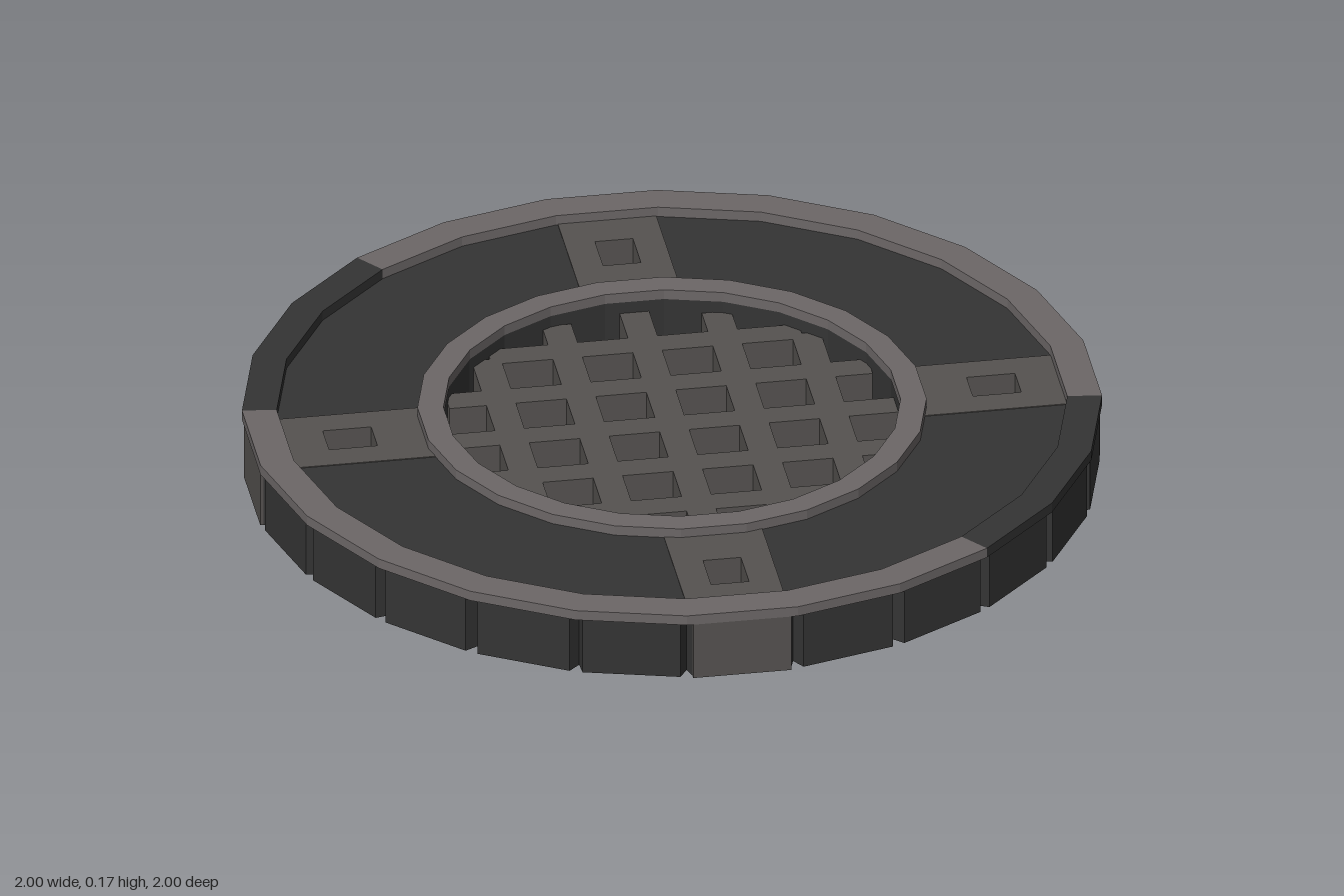
import * as THREE from 'three';

const SIDES = 24, STEP = Math.PI * 2 / SIDES;
const mat = (color) => new THREE.MeshStandardMaterial({ color, flatShading: true });
const corner = (r, k) => {
  const a = (k + 0.5) * STEP;
  return new THREE.Vector2(r * Math.cos(a), r * Math.sin(a));
};
const ring = (r) => Array.from({ length: SIDES }, (_, k) => corner(r, k));
const rect = (cx, cz, w, d) => [[-1, -1], [1, -1], [1, 1], [-1, 1]]
  .map(([sx, sz]) => new THREE.Vector2(cx + sx * w / 2, cz + sz * d / 2));

// Plan outline in x/z, filled from height y0 up to y1
function slab(name, outline, holes, y0, y1, material) {
  const shape = new THREE.Shape(outline);
  holes.forEach((h) => shape.holes.push(new THREE.Path(h)));
  const geo = new THREE.ExtrudeGeometry(shape, { depth: y1 - y0, bevelEnabled: false });
  geo.rotateX(Math.PI / 2).translate(0, y1, 0);
  const mesh = new THREE.Mesh(geo, material);
  mesh.name = name;
  return mesh;
}

// Part of a faceted ring, covering count facets from corner k0
function ringArc(name, rIn, rOut, k0, count, y0, y1, material) {
  const pts = [];
  for (let k = k0; k <= k0 + count; k++) pts.push(corner(rOut, k));
  for (let k = k0 + count; k >= k0; k--) pts.push(corner(rIn, k));
  return slab(name, pts, [], y0, y1, material);
}

export function createModel() {
  const model = new THREE.Group();
  model.name = 'drainCover';
  const dark = mat(0x343434), mid = mat(0x555250), light = mat(0x6c6767), pale = mat(0xcccccc);
  const R = 1.0086, rBody = 1.004, rOpening = 0.537;
  const floorY = 0.145, topY = 0.17;

  // Disc body with a V groove at every outer corner
  const outline = [];
  for (let k = 0; k < SIDES; k++) {
    const p = corner(rBody, k);
    outline.push(
      p.clone().lerp(corner(rBody, k - 1), 0.06),
      corner(rBody - 0.035, k),
      p.clone().lerp(corner(rBody, k + 1), 0.06),
    );
  }
  const slots = [[1, 0], [0, 1], [-1, 0], [0, -1]].map(([x, z]) =>
    rect(x * 0.765, z * 0.765, x ? 0.14 : 0.11, z ? 0.14 : 0.11));
  model.add(slab('body', outline, [ring(rOpening), ...slots], 0.002, floorY, dark));

  // Four spokes with lifting slots, each closed by a plate inside
  for (let i = 0; i < 4; i++) {
    const spoke = new THREE.Group();
    spoke.name = 'spoke';
    spoke.add(slab('spokeBlock', rect(0.778, 0, 0.44, 0.234), [rect(0.765, 0, 0.115, 0.09)], 0, floorY + 0.002, mid));
    const plate = new THREE.Mesh(new THREE.BoxGeometry(0.12, 0.01, 0.095), pale);
    plate.name = 'slotPlate';
    plate.position.set(0.765, 0.06, 0);
    spoke.add(plate);
    spoke.rotation.y = i * Math.PI / 2;
    model.add(spoke);
  }

  // Raised outer rim: two long light arcs and two short dark ones
  for (const k of [0, 12]) {
    model.add(ringArc('darkRim', 0.927, R, k, 3, floorY, topY, dark));
    model.add(ringArc('lightRim', 0.927, R, k + 3, 9, floorY, topY, light));
  }

  // Raised rim around the opening
  model.add(slab('innerRim', ring(0.597), [ring(rOpening - 0.001)], floorY, topY, light));

  // Grating of crossing bars
  const grating = new THREE.Group();
  grating.name = 'grating';
  for (let i = -2; i <= 2; i++) {
    const c = i * 0.19;
    const length = 2 * Math.sqrt(0.545 ** 2 - (Math.abs(c) + 0.02) ** 2);
    const geo = new THREE.BoxGeometry(length, 0.11, 0.07);
    const across = new THREE.Mesh(geo, mid);
    across.name = 'crossBar';
    across.position.set(0, 0.06, c);
    const along = new THREE.Mesh(geo, mid);
    along.name = 'longBar';
    along.rotation.y = Math.PI / 2;
    along.position.set(c, 0.06, 0);
    grating.add(across, along);
  }
  model.add(grating);
  return model;
}
